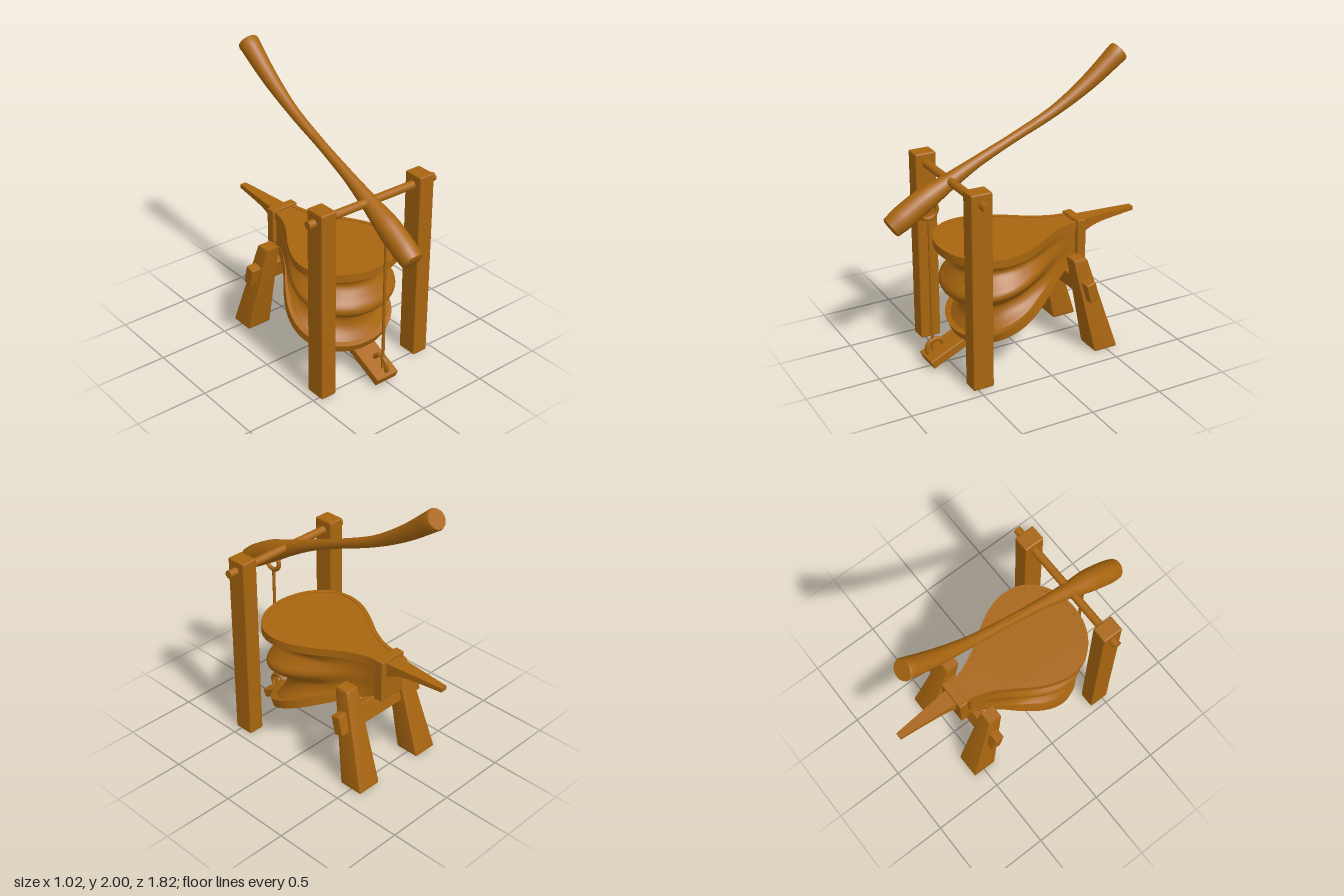
import * as THREE from 'three';
import { RoundedBoxGeometry } from 'three/addons/geometries/RoundedBoxGeometry.js';
import { toCreasedNormals } from 'three/addons/utils/BufferGeometryUtils.js';

const wood = new THREE.MeshStandardMaterial({ color: 0xa8650f });
const leather = new THREE.MeshStandardMaterial({ color: 0xa8650f, side: THREE.DoubleSide });
const V = (x, y, z) => new THREE.Vector3(x, y, z);
const CX = -0.01;      // centre line of the bellows
const HINGE_Z = -0.43; // back end of both boards
const TILT = 0.41;     // slope of the bottom board

function add(parent, name, geometry, x = 0, y = 0, z = 0, rx = 0, material = wood) {
  const mesh = new THREE.Mesh(geometry, material);
  mesh.name = name;
  mesh.position.set(x, y, z);
  mesh.rotation.x = rx;
  parent.add(mesh);
  return mesh;
}

const block = (w, h, d, r = 0.01) => new RoundedBoxGeometry(w, h, d, 2, r);

// Skin over a stack of closed rings with equal point counts
function loft(rings) {
  const n = rings[0].length, index = [];
  for (let i = 0; i < rings.length - 1; i++) {
    for (let j = 0; j < n; j++) {
      const a = i * n + j, b = i * n + (j + 1) % n;
      index.push(a, b, a + n, b, b + n, a + n);
    }
  }
  const geometry = new THREE.BufferGeometry().setFromPoints(rings.flat());
  geometry.setIndex(index);
  geometry.computeVertexNormals();
  return geometry;
}

// Teardrop board outline: x across, y is the distance from the hinge
function teardrop() {
  const half = [[0.085, 0], [0.105, 0.1], [0.165, 0.23], [0.265, 0.38], [0.342, 0.53],
    [0.368, 0.66], [0.345, 0.78], [0.27, 0.88], [0.15, 0.95], [0, 0.975]];
  const pts = [...half, ...half.slice(0, -1).reverse().map(([x, y]) => [-x, y])];
  return new THREE.CatmullRomCurve3(pts.map(([x, y]) => V(x, y, 0)))
    .getPoints(96).map(p => new THREE.Vector2(p.x, p.y));
}

// Outline moved inward by a fixed distance
function inset(points, distance) {
  return points.map((p, i) => {
    const a = points[Math.max(i - 1, 0)], b = points[Math.min(i + 1, points.length - 1)];
    const t = b.clone().sub(a).normalize();
    return new THREE.Vector2(p.x - t.y * distance, p.y + t.x * distance);
  });
}

// Board with a raised rim; its top face lies on the group's y = 0
function board(name, outline) {
  const group = new THREE.Group();
  group.name = name;
  const inner = inset(outline, 0.028);
  const rimShape = new THREE.Shape(outline);
  rimShape.holes.push(new THREE.Path(inner));
  const slab = (shape, depth) => toCreasedNormals(
    new THREE.ExtrudeGeometry(shape, { depth, bevelEnabled: false }).rotateX(Math.PI / 2), 0.6);
  add(group, name + 'Rim', slab(rimShape, 0.055));
  add(group, name + 'Panel', slab(new THREE.Shape(inner), 0.045), 0, -0.005, 0);
  return group;
}

// Folded leather: the outline swings from the top board down to the bottom board
function bellowsSkin(outline) {
  const pinch = new THREE.CatmullRomCurve3([[0, 0.06], [0.08, 0.2], [0.2, 0.27], [0.32, 0.17], [0.43, 0.05],
    [0.5, 0.045], [0.6, 0.15], [0.73, 0.31], [0.87, 0.27], [1, 0.08]].map(([t, k]) => V(t, k, 0)));
  return loft(pinch.getPoints(40).map(({ x: t, y: k }) => {
    const angle = TILT * t, hingeY = 0.785 - 0.18 * t;
    return outline.slice(0, -1).map(p => {
      const fade = THREE.MathUtils.smoothstep(p.y, 0, 0.55);
      const d = p.y * (1 - 0.4 * k * fade);
      return V(p.x * (1 - k * fade), hingeY - d * Math.sin(angle), d * Math.cos(angle));
    });
  }));
}

// Carved lever: round sections of changing radius along a curve
function leverGeometry() {
  const stations = [[0.87, 1.032, 0.07], [0.78, 1.09, 0.08], [0.64, 1.175, 0.078], [0.465, 1.265, 0.056],
    [0.25, 1.37, 0.038], [0, 1.478, 0.032], [-0.3, 1.61, 0.037], [-0.55, 1.76, 0.053], [-0.79, 1.945, 0.071]];
  const path = new THREE.CatmullRomCurve3(stations.map(([z, y]) => V(0, y, z)));
  const radius = new THREE.CatmullRomCurve3(stations.map(s => V(s[2], 0, 0)));
  const rings = [];
  const ring = (t, scale) => {
    const c = path.getPoint(t), T = path.getTangent(t), r = radius.getPoint(t).x * scale;
    rings.push(Array.from({ length: 20 }, (_, j) => {
      const a = j / 20 * Math.PI * 2, s = Math.sin(a) * r;
      return V(c.x + Math.cos(a) * r, c.y + T.z * s, c.z - T.y * s);
    }));
  };
  ring(0, 0);
  ring(0, 0.85);
  for (let i = 0; i <= 48; i++) ring(0.008 + 0.987 * i / 48, 1);
  ring(1, 0.92);
  ring(1, 0);
  return toCreasedNormals(loft(rings), 0.7);
}

// Splayed leg: a box whose corners run from a wide foot to a narrow top
function legGeometry(side) {
  const geometry = block(1, 1, 1, 0.04);
  const p = geometry.attributes.position, mix = THREE.MathUtils.lerp;
  for (let i = 0; i < p.count; i++) {
    const u = p.getX(i) * side + 0.5, v = p.getY(i) + 0.5, w = p.getZ(i) + 0.5;
    const x = mix(0.185, mix(0.365, 0.285, v), u);
    const z = mix(mix(-0.585, -0.38, v), mix(-0.41, -0.28, v), w);
    p.setXYZ(i, x * side, v * 0.67, z);
  }
  geometry.computeVertexNormals();
  return toCreasedNormals(geometry, 0.5);
}

// Nozzle: flat on top, with a hollow taper underneath
function nozzleGeometry() {
  const geometry = new THREE.BoxGeometry(1, 1, 1, 1, 1, 10);
  const p = geometry.attributes.position;
  for (let i = 0; i < p.count; i++) {
    const t = 0.5 - p.getZ(i);
    const width = 0.12 - 0.075 * t;
    const bottom = 0.8 - 0.025 * (1 - t) - 0.06 * (1 - t) ** 6;
    p.setXYZ(i, p.getX(i) * width, p.getY(i) > 0 ? 0.83 : bottom, -0.48 - 0.44 * t);
  }
  geometry.computeVertexNormals();
  return geometry;
}

export function createModel() {
  const model = new THREE.Group();
  model.name = 'forgeBellows';

  // Front frame
  for (const x of [-0.402, 0.388]) add(model, 'frontPost', block(0.115, 1.345, 0.145), x, 0.68, 0.467);
  add(model, 'pivotBar', new THREE.CylinderGeometry(0.028, 0.028, 1.02, 20).rotateZ(Math.PI / 2), 0, 1.28, 0.465);

  // Rear legs and the beam through them
  for (const side of [-1, 1]) add(model, 'rearLeg', legGeometry(side), 0.01);
  add(model, 'rearBeam', block(0.75, 0.14, 0.07, 0.006), 0.01, 0.455, -0.38, 0.255);

  // Bellows body
  const outline = teardrop();
  const top = board('topBoard', outline);
  top.position.set(CX, 0.837, HINGE_Z);
  const bottom = board('bottomBoard', outline);
  bottom.position.set(CX, 0.62, HINGE_Z);
  bottom.rotation.x = TILT;
  model.add(top, bottom);
  add(model, 'leatherFolds', bellowsSkin(outline), CX, 0, HINGE_Z, 0, leather);
  add(model, 'nozzleBlock', block(0.205, 0.3, 0.065, 0.006), CX, 0.7, -0.462);
  add(model, 'nozzle', nozzleGeometry(), CX);

  // Plank under the bottom board
  add(model, 'plank', block(0.175, 0.06, 0.95, 0.006), CX, 0.235, 0.222, TILT + 0.015);

  // Lever, eyes and pull rod
  add(model, 'lever', leverGeometry(), -0.022);
  const eye = () => new THREE.TorusGeometry(0.06, 0.015, 10, 28, Math.PI * 1.1)
    .rotateZ(-Math.PI * 0.05).rotateY(Math.PI / 2);
  add(model, 'upperEye', eye(), CX, 1.11, 0.615, Math.PI + 0.5);
  add(model, 'lowerEye', eye(), CX, 0.125, 0.592, TILT);
  add(model, 'pullRod', new THREE.CylinderGeometry(0.011, 0.011, 0.95, 12), CX, 0.575, 0.61);
  return model;
}
